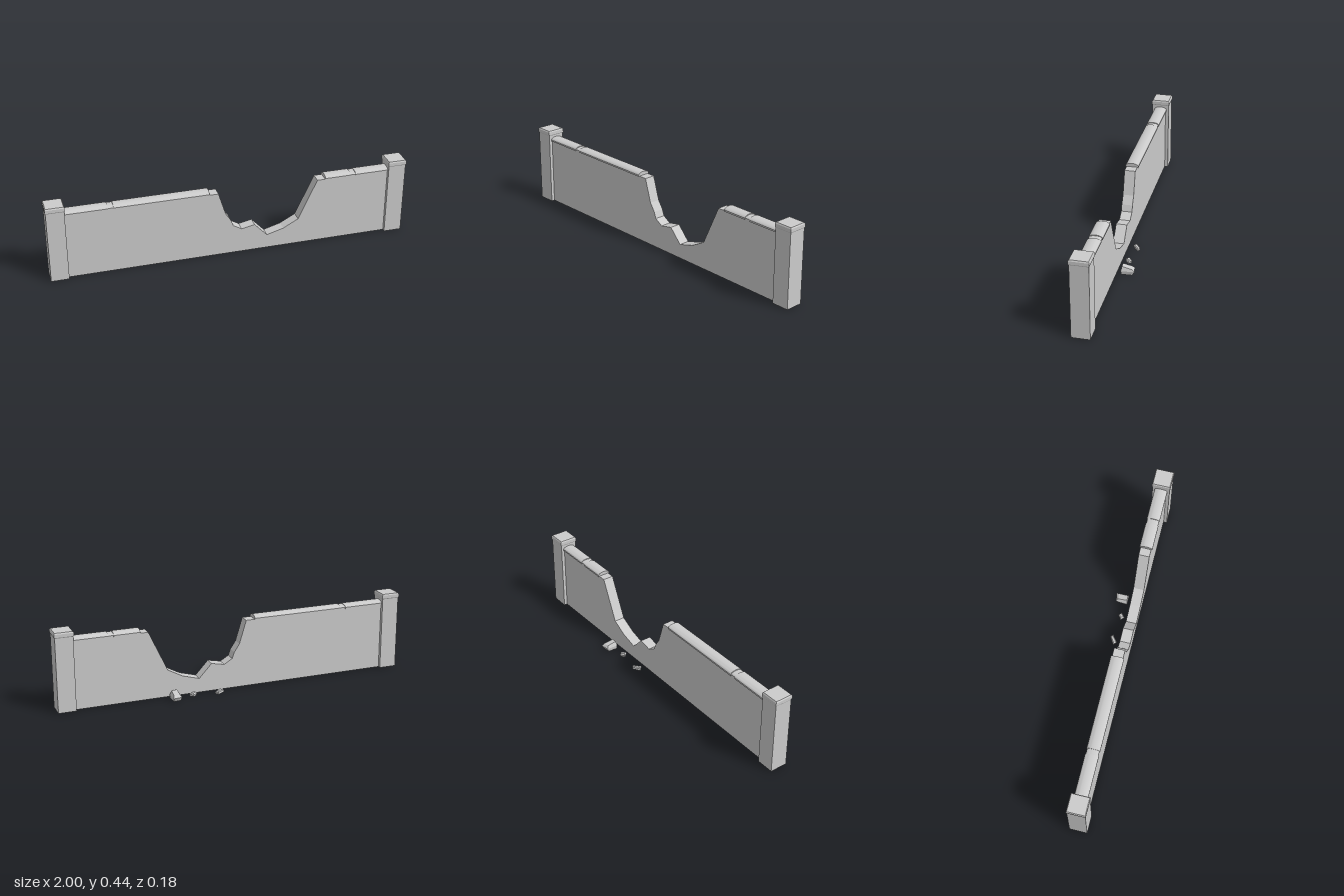
import * as THREE from 'three';
import { ConvexGeometry } from 'three/addons/geometries/ConvexGeometry.js';
import { toCreasedNormals } from 'three/addons/utils/BufferGeometryUtils.js';

const MID_Z = 0.038;
const grey = new THREE.MeshStandardMaterial({ color: 0xcccccc });
const flat = new THREE.MeshStandardMaterial({ color: 0xcccccc, flatShading: true });

function add(parent, name, geometry, material = flat) {
  const mesh = new THREE.Mesh(geometry, material);
  mesh.name = name;
  parent.add(mesh);
  return mesh;
}

// Square block lofted through [halfWidth, y] levels
function squareLoft(levels) {
  const points = levels.map(([h, y]) => new THREE.Vector2(h * Math.SQRT2, y));
  const g = new THREE.LatheGeometry(
    [new THREE.Vector2(0, levels[0][1]), ...points, new THREE.Vector2(0, levels.at(-1)[1])], 4);
  return g.rotateY(Math.PI / 4);
}

// Rounded coping stone between two x positions
function coping(x0, x1, half, top) {
  const s = new THREE.Shape();
  s.moveTo(-half, 0.378);
  s.lineTo(half, 0.378);
  s.lineTo(half, 0.387);
  s.bezierCurveTo(half * 0.8, top + 0.001, -half * 0.8, top + 0.001, -half, 0.387);
  s.closePath();
  const g = new THREE.ExtrudeGeometry(s, { depth: x1 - x0, bevelEnabled: false, curveSegments: 10 });
  g.rotateY(Math.PI / 2).translate(x0, 0, MID_Z);
  return toCreasedNormals(g, 0.5);
}

// Convex stone from a list of corners
function rock(parent, name, corners) {
  add(parent, name, new ConvexGeometry(corners.map((c) => new THREE.Vector3(...c))));
}

export function createModel() {
  const model = new THREE.Group();
  model.name = 'brokenWall';

  // Wall panel with the collapsed gap
  const outline = [
    [-0.91, 0], [0.91, 0], [0.91, 0.38], [0.49, 0.38], [0.385, 0.153], [0.3, 0.107],
    [0.206, 0.08], [0.134, 0.157], [0.06, 0.142], [0.013, 0.17], [0, 0.205],
    [-0.03, 0.25], [-0.07, 0.38], [-0.91, 0.38],
  ].map(([x, y]) => new THREE.Vector2(x, y));
  const panel = new THREE.ExtrudeGeometry(new THREE.Shape(outline), { depth: 0.06, bevelEnabled: false });
  add(model, 'wallPanel', panel.translate(0, 0, MID_Z - 0.03));

  // End posts with bevelled caps
  for (const side of [-1, 1]) {
    const post = new THREE.Group();
    post.name = side > 0 ? 'leftPost' : 'rightPost';
    post.position.set(side * 0.948, 0, MID_Z);
    add(post, 'postShaft', new THREE.BoxGeometry(0.098, 0.415, 0.098)).position.y = 0.2075;
    add(post, 'postCap', squareLoft([
      [0.049, 0.412], [0.052, 0.417], [0.052, 0.434], [0.048, 0.441],
    ]));
    model.add(post);
  }

  // Coping stones, with a slightly sunken joint between neighbours
  const runs = [[-0.905, -0.67], [-0.64, -0.12], [0.535, 0.68], [0.71, 0.905]];
  runs.forEach(([a, b]) => add(model, 'copingStone', coping(a, b, 0.036, 0.404), grey));
  [[-0.67, -0.64], [0.68, 0.71]].forEach(([a, b]) =>
    add(model, 'copingJoint', coping(a, b, 0.033, 0.398), grey));

  // Fallen stones behind the gap
  rock(model, 'largeStone', [
    [0.337, 0, -0.018], [0.384, 0, -0.018], [0.34, 0, -0.072], [0.382, 0, -0.076],
    [0.335, 0.02, -0.016], [0.386, 0.02, -0.016], [0.337, 0.022, -0.082], [0.385, 0.022, -0.09],
    [0.345, 0.046, -0.02], [0.376, 0.044, -0.021], [0.346, 0.036, -0.072], [0.38, 0.034, -0.076],
  ]);
  rock(model, 'mediumStone', [
    [0.237, 0, -0.03], [0.258, 0, -0.046], [0.276, 0, -0.033], [0.252, 0, -0.014],
    [0.235, 0.013, -0.032], [0.26, 0.012, -0.05], [0.278, 0.012, -0.033], [0.25, 0.014, -0.012],
    [0.243, 0.022, -0.032], [0.26, 0.02, -0.043], [0.27, 0.02, -0.034], [0.253, 0.023, -0.02],
  ]);
  rock(model, 'smallStone', [
    [0.08, 0, -0.037], [0.12, 0, -0.062], [0.134, 0, -0.05], [0.096, 0, -0.02],
    [0.078, 0.012, -0.035], [0.122, 0.013, -0.063], [0.136, 0.011, -0.049], [0.096, 0.013, -0.019],
    [0.088, 0.017, -0.035], [0.119, 0.018, -0.056], [0.127, 0.017, -0.049], [0.098, 0.018, -0.026],
  ]);

  return model;
}
